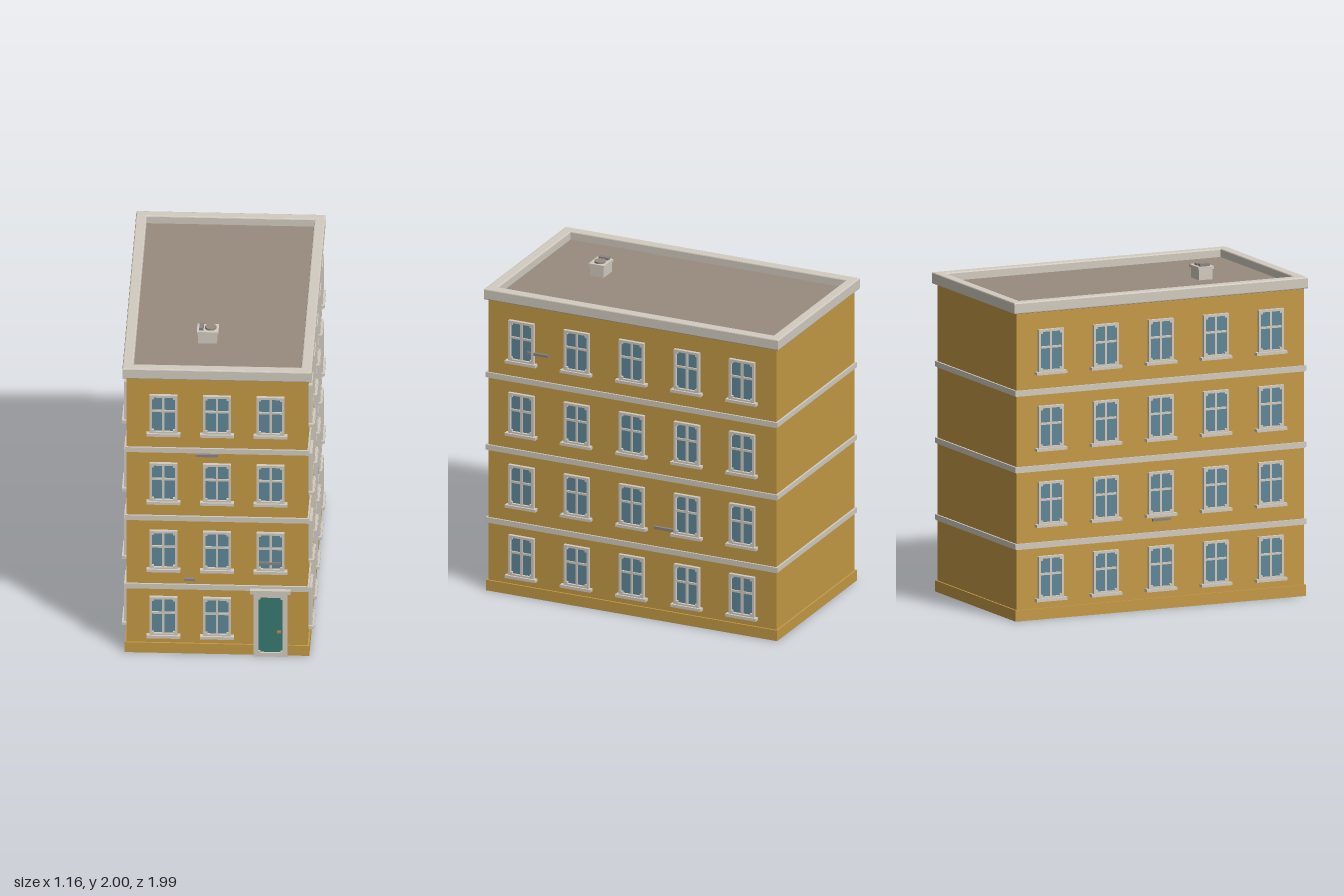
import * as THREE from 'three';

const mat = (name, color) => {
  const m = new THREE.MeshStandardMaterial({ color });
  m.name = name;
  return m;
};

export function createModel() {
  const wall = mat('ochre wall', 0xc49a45);
  const trim = mat('pale stone', 0xd2cbc0);
  const glass = mat('blue glass', 0x5f8798);
  const doorGreen = mat('green door', 0x37796f);
  const roofBrown = mat('roof brown', 0x998a7f);
  const ledgeGrey = mat('ledge grey', 0x8a8583);
  const brass = mat('brass', 0xc08a3a);

  const model = new THREE.Group();
  model.name = 'townHouse';
  const X = 0.545, ZF = 0.955, ZB = -0.967, ZC = (ZF + ZB) / 2, D = ZF - ZB;

  const add = (parent, name, geometry, material, x = 0, y = 0, z = 0) => {
    const mesh = new THREE.Mesh(geometry, material);
    mesh.name = name;
    mesh.position.set(x, y, z);
    parent.add(mesh);
    return mesh;
  };
  // Box given by its lower and upper corners
  const block = (parent, name, material, x0, x1, y0, y1, z0, z1) =>
    add(parent, name, new THREE.BoxGeometry(x1 - x0, y1 - y0, z1 - z0), material,
      (x0 + x1) / 2, (y0 + y1) / 2, (z0 + z1) / 2);

  const rectangle = (Type, x0, x1, y0, y1) => {
    const s = new Type();
    s.moveTo(x0, y0).lineTo(x1, y0).lineTo(x1, y1).lineTo(x0, y1).closePath();
    return s;
  };
  // Opening whose corners are stepped inward by n
  const notched = (x0, x1, y0, y1, n) => new THREE.Path([
    [x0 + n, y0], [x1 - n, y0], [x1 - n, y0 + n], [x1, y0 + n],
    [x1, y1 - n], [x1 - n, y1 - n], [x1 - n, y1], [x0 + n, y1],
    [x0 + n, y1 - n], [x0, y1 - n], [x0, y0 + n], [x0 + n, y0 + n],
  ].map(([x, y]) => new THREE.Vector2(x, y)));

  // Walls, plinth and floor bands
  block(model, 'walls', wall, -X, X, 0, 1.895, ZB, ZF);
  block(model, 'plinth', wall, -X - 0.011, X + 0.011, 0, 0.068, ZB - 0.011, ZF + 0.011);
  for (const y of [0.457, 0.927, 1.395]) {
    block(model, 'floorBand', trim, -X - 0.011, X + 0.011, y - 0.016, y + 0.016, ZB - 0.012, ZF + 0.012);
    block(model, 'bandFoot', trim, -X - 0.005, X + 0.005, y - 0.021, y - 0.015, ZB - 0.005, ZF + 0.005);
  }

  // Parapet ring with softened edges, and the sunken roof
  const bevel = 0.007;
  const ring = rectangle(THREE.Shape, -0.57 + bevel, 0.57 - bevel, -0.972 + bevel, 0.992 - bevel);
  ring.holes.push(rectangle(THREE.Path, -0.505 - bevel, 0.505 + bevel, -0.908 - bevel, 0.93 + bevel));
  const parapet = add(model, 'parapet', new THREE.ExtrudeGeometry(ring, {
    depth: 0.07 - 2 * bevel, bevelThickness: bevel, bevelSize: bevel, bevelSegments: 2,
  }), trim, 0, 1.883 + bevel, 0);
  parapet.rotation.x = -Math.PI / 2;
  block(model, 'roof', roofBrown, -0.51, 0.51, 1.89, 1.902, -0.935, 0.912);

  // Roof vent unit
  block(model, 'ventBox', trim, -0.132, -0.018, 1.9, 1.97, 0.455, 0.545);
  block(model, 'ventLid', trim, -0.14, -0.01, 1.966, 1.983, 0.448, 0.552);
  block(model, 'ventSlot', ledgeGrey, -0.126, -0.1, 1.98, 2.0, 0.465, 0.53);
  add(model, 'ventCap', new THREE.CylinderGeometry(0.034, 0.034, 0.014, 20), roofBrown, -0.058, 1.988, 0.498);

  // One window, its base line at y = 0 and its wall plane at z = 0
  const frameShape = rectangle(THREE.Shape, -0.084, 0.084, 0, 0.262);
  frameShape.holes.push(notched(-0.07, 0.07, 0.014, 0.248, 0.012));
  const frameGeometry = new THREE.ExtrudeGeometry(frameShape, { depth: 0.022, bevelEnabled: false });
  const makeWindow = () => {
    const w = new THREE.Group();
    w.name = 'window';
    add(w, 'windowFrame', frameGeometry, trim);
    block(w, 'windowPane', glass, -0.075, 0.075, 0.008, 0.254, 0, 0.006);
    block(w, 'verticalBar', trim, -0.007, 0.007, 0.01, 0.252, 0.004, 0.015);
    block(w, 'crossBar', trim, -0.073, 0.073, 0.145, 0.158, 0.004, 0.015);
    block(w, 'windowSill', trim, -0.102, 0.102, -0.014, 0.004, 0, 0.034);
    return w;
  };
  const placeWindow = (x, y, z, turn) => {
    const w = makeWindow();
    w.position.set(x, y, z);
    w.rotation.y = turn;
    model.add(w);
  };
  [0.125, 0.58, 1.045, 1.513].forEach((y, storey) => {
    for (const x of [-0.323, 0, 0.323]) {
      if (storey > 0 || x < 0.3) placeWindow(x, y, ZF, 0);
    }
    for (let i = 0; i < 5; i++) {
      const z = 0.728 - i * 0.368;
      placeWindow(X, y, z, Math.PI / 2);
      placeWindow(-X, y, z, -Math.PI / 2);
    }
  });

  // Entrance door
  const door = new THREE.Group();
  door.name = 'entrance';
  door.position.set(0.322, 0, ZF);
  model.add(door);
  const surround = rectangle(THREE.Shape, -0.102, 0.102, 0, 0.435);
  surround.holes.push(notched(-0.072, 0.072, 0.025, 0.405, 0.012));
  add(door, 'doorFrame', new THREE.ExtrudeGeometry(surround, { depth: 0.03, bevelEnabled: false }), trim);
  block(door, 'doorLeaf', doorGreen, -0.08, 0.08, 0.015, 0.415, 0, 0.016);
  block(door, 'doorHandle', brass, 0.041, 0.063, 0.157, 0.172, 0.014, 0.026);
  block(door, 'doorCanopy', trim, -0.122, 0.122, 0.432, 0.456, 0, 0.04);

  // Small stone ledges scattered over the walls
  for (const [x0, x1, y] of [[-0.13, 0.005, 1.355], [-0.2, -0.132, 0.5], [0.25, 0.385, 0.624]]) {
    block(model, 'ledge', ledgeGrey, x0, x1, y, y + 0.016, ZF, ZF + 0.016);
  }
  for (const [z0, z1, y] of [[0.55, 0.69, 1.572], [-0.29, -0.157, 0.588]]) {
    block(model, 'ledge', ledgeGrey, X, X + 0.016, y, y + 0.017, z0, z1);
  }
  block(model, 'ledge', ledgeGrey, -X - 0.01, -X, 0.538, 0.554, -0.06, 0.06);

  return model;
}
